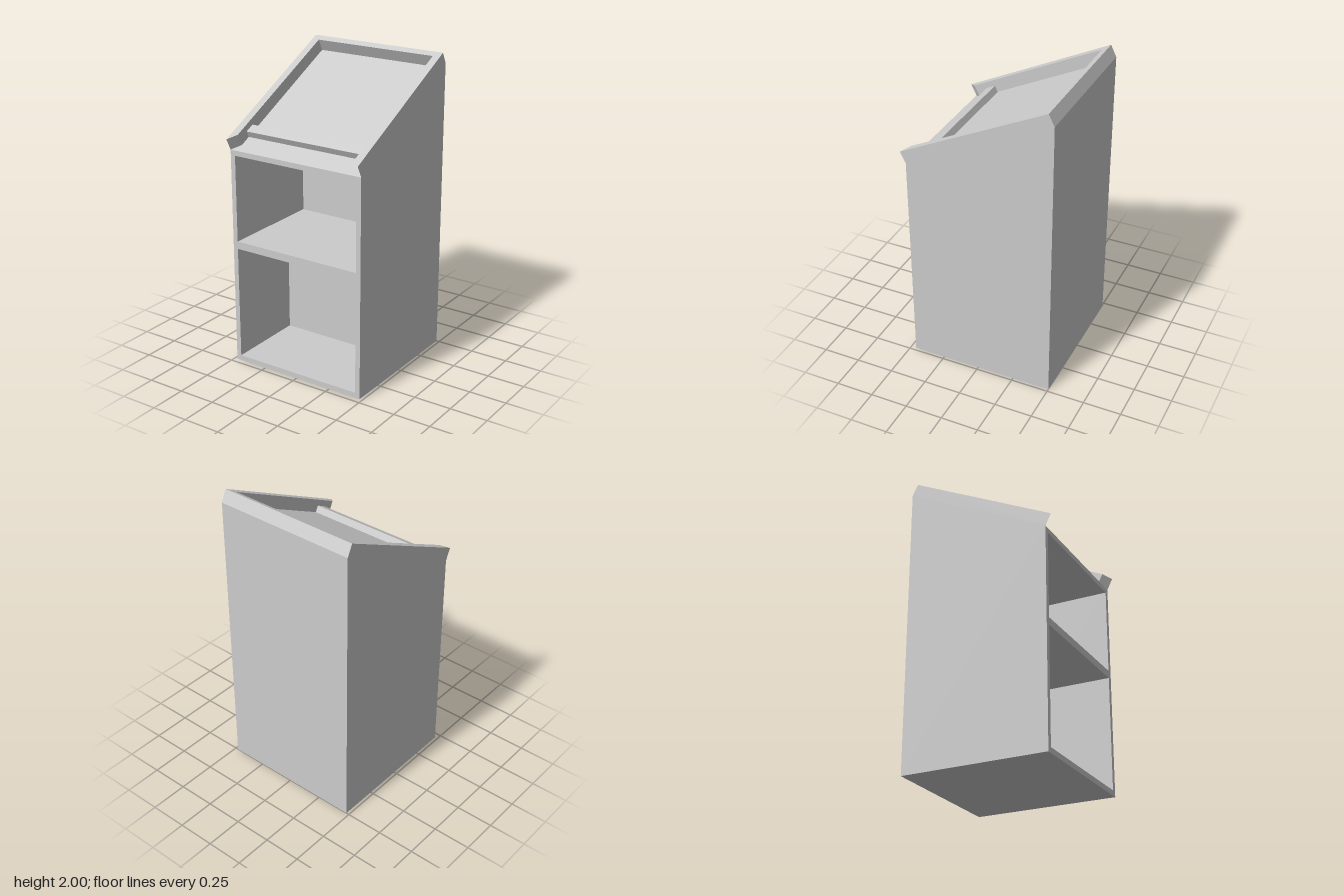
import * as THREE from 'three';

const W = 0.48;               // half width
const FRONT = 0.4625, BACK = -0.5;
const RIM_Y = 1.444;          // front edge of the sloping desk
const SLOPE = 0.5;            // rise per unit of depth
const deskY = (z) => RIM_Y + (FRONT - z) * SLOPE;

const material = new THREE.MeshStandardMaterial({ color: 0xcccccc, flatShading: true });

function extrude(points, depth) {
  const shape = new THREE.Shape(points.map(([x, y]) => new THREE.Vector2(x, y)));
  return new THREE.ExtrudeGeometry(shape, { depth, bevelEnabled: false });
}

// Extrudes a [z, y] profile from x0 to x1
function crossSection(points, x0, x1) {
  const g = extrude(points.map(([z, y]) => [-z, y]), x1 - x0);
  g.rotateY(Math.PI / 2);
  return g.translate(x0, 0, 0);
}

function part(name, geometry, parent) {
  const mesh = new THREE.Mesh(geometry, material);
  mesh.name = name;
  parent.add(mesh);
  return mesh;
}

export function createModel() {
  const model = new THREE.Group();
  model.name = 'lectern';

  // Side panels with a sloping top edge
  const inner = 0.447;
  const side = [[FRONT, 0], [FRONT, RIM_Y], [BACK, deskY(BACK)], [BACK, 0]];
  part('leftPanel', crossSection(side, inner, W), model);
  part('rightPanel', crossSection(side, -W, -inner), model);

  // Core between the panels: base, shelf, top and back around two open compartments
  const lowerBack = FRONT - 0.54, upperBack = FRONT - 0.715;
  part('compartments', crossSection([
    [FRONT, 0], [FRONT, 0.035], [lowerBack, 0.035], [lowerBack, 0.79],
    [FRONT, 0.79], [FRONT, 0.84], [upperBack, 0.84], [upperBack, 1.41],
    [FRONT, 1.41], [FRONT, RIM_Y], [BACK, deskY(BACK)], [BACK, 0],
  ], -inner, inner), model);

  // Desk parts lie in the sloping plane: x across, y up the slope, z out of it
  const desk = new THREE.Group();
  desk.name = 'desk';
  desk.position.set(0, RIM_Y, FRONT);
  desk.rotation.x = Math.atan(SLOPE) - Math.PI / 2;
  model.add(desk);

  // Raised rim on three sides with mitred front ends
  const k = Math.hypot(1, SLOPE);
  const length = (FRONT - BACK) * k, rimIn = 0.43, mitre = 0.05 * k;
  part('deskRim', extrude([
    [-W, 0], [-rimIn, mitre], [-rimIn, length - 0.0447], [rimIn, length - 0.0447],
    [rimIn, mitre], [W, 0], [W, length], [-W, length],
  ], 0.0839), desk);

  // Ledge that stops papers from sliding down
  const ledge = new THREE.BoxGeometry(rimIn * 2, 0.067, 0.0447);
  part('paperLedge', ledge.translate(0, 0.168, 0.0447 / 2), desk);

  return model;
}
